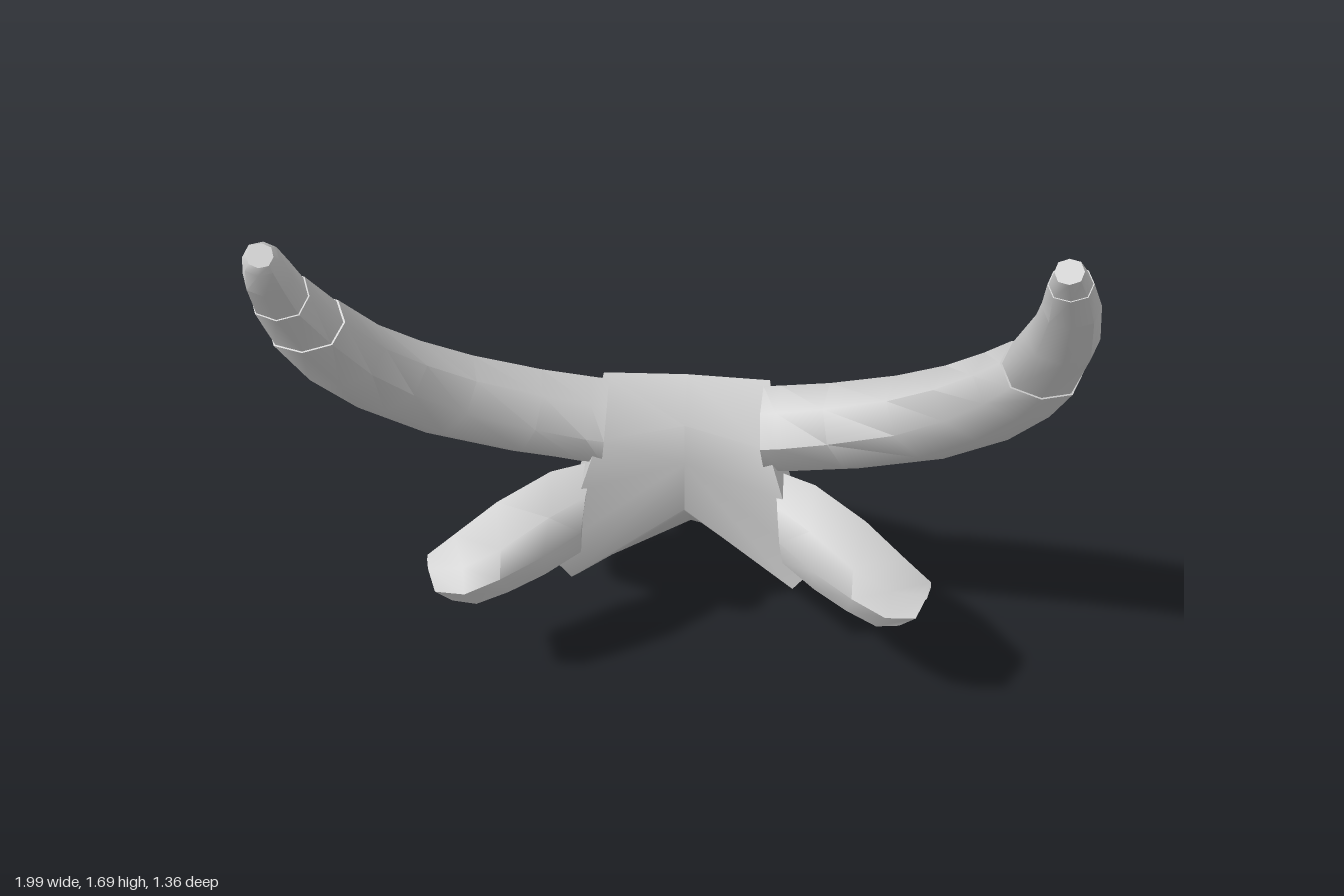
import * as THREE from 'three';
import { toCreasedNormals } from 'three/addons/utils/BufferGeometryUtils.js';

const V = (x, y, z) => new THREE.Vector3(x, y, z);
const grey = new THREE.MeshStandardMaterial({ color: 0xcccccc });
grey.name = 'light grey';

const centreOf = ring => ring.reduce((s, p) => s.add(p), V(0, 0, 0)).divideScalar(ring.length);

// Skin closed rings into a capped solid whose faces always point outward
function loft(rings, startCap, crease = 0.75) {
  const n = rings[0].length, pts = rings.flat(), idx = [];
  const last = (rings.length - 1) * n, c0 = pts.length;
  pts.push(startCap || centreOf(rings[0]), centreOf(rings[rings.length - 1]));
  for (let j = 0; j < n; j++) {
    const k = (j + 1) % n;
    for (let i = 0; i < last; i += n) idx.push(i + j, i + k, i + n + j, i + k, i + n + k, i + n + j);
    idx.push(c0, k, j, c0 + 1, last + j, last + k);
  }
  let volume = 0;
  for (let i = 0; i < idx.length; i += 3)
    volume += pts[idx[i]].dot(pts[idx[i + 1]].clone().cross(pts[idx[i + 2]]));
  if (volume < 0) idx.reverse();
  const g = new THREE.BufferGeometry().setFromPoints(pts);
  g.setIndex(idx);
  return toCreasedNormals(g, crease);
}

export function createModel() {
  const model = new THREE.Group();
  const add = (name, geometry) => {
    const m = new THREE.Mesh(geometry, grey);
    m.name = name;
    model.add(m);
    return m;
  };

  // Head: half sections from crown centre round to throat centre, mirrored
  const sections = [
    [[0, .73, -.01], [.23, .71, .055], [.275, .57, .09], [.37, .36, .115], [.31, .26, .09], [0, .45, 0]],
    [[0, .845, -.09], [.225, .845, -.08], [.28, .6, -.03], [.375, .34, .06], [.3, .215, .02], [0, .42, -.03]],
    [[0, .69, -.235], [.2, .69, -.21], [.26, .55, -.12], [.32, .36, -.07], [.255, .205, -.05], [0, .36, -.1]],
    [[0, .46, -.4], [.135, .46, -.39], [.18, .38, -.33], [.21, .28, -.27], [.19, .185, -.22], [0, .23, -.23]],
    [[0, .35, -.482], [.12, .35, -.475], [.16, .28, -.44], [.175, .2, -.4], [.155, .15, -.36], [0, .16, -.37]],
    [[0, .24, -.56], [.11, .235, -.56], [.14, .19, -.545], [.15, .13, -.52], [.13, .07, -.49], [0, .07, -.49]],
  ].map(half => [
    ...half.map(p => V(...p)),
    ...half.slice(1, -1).reverse().map(([x, y, z]) => V(-x, y, z)),
  ]);
  const head = add('head', loft(sections, V(0, .61, 0), 0.8));

  // Muzzle band and nose pad: rounded-square rings [topY, topZ, bottomY, bottomZ, halfWidth]
  const muzzleRing = ([ty, tz, by, bz, w]) => Array.from({ length: 16 }, (_, i) => {
    const a = i / 16 * Math.PI * 2, sq = v => Math.sign(v) * Math.abs(v) ** 0.65;
    const k = (1 + sq(Math.sin(a))) / 2;
    return V(w * sq(Math.cos(a)), by + (ty - by) * k, bz + (tz - bz) * k);
  });
  add('muzzleBand', loft([
    [.235, -.55, .07, -.475, .14], [.24, -.575, .055, -.485, .155],
    [.195, -.61, .03, -.5, .16], [.185, -.61, .035, -.505, .15]].map(muzzleRing)));
  add('nosePad', loft([
    [.18, -.6, .04, -.49, .15], [.18, -.62, .025, -.5, .165],
    [.165, -.64, 0, -.535, .16], [.125, -.672, .005, -.555, .125],
    [.105, -.67, .015, -.565, .105]].map(muzzleRing)));

  // Horns: stations [x, y, half width, half thickness] lying in a tilted plane
  const normal = V(0, .6, -.8);
  const hornBase = [[.22, .712, .125, .12], [.28, .718, .135, .12], [.43, .755, .15, .115],
    [.625, .84, .155, .11], [.76, .955, .145, .1], [.845, 1.08, .125, .09]];
  const wholeHorn = [...hornBase, [.89, 1.185, .104, .08],
    [.913, 1.36, .085, .068], [.905, 1.52, .066, .055], [.887, 1.62, .05, .042], [.875, 1.675, .032, .03]];
  const brokenHorn = [...hornBase, [.895, 1.245, .103, .078],
    [.915, 1.39, .072, .065], [.912, 1.49, .058, .053], [.903, 1.57, .042, .042], [.9, 1.585, .03, .03]];
  const hornRings = (stations, side) => {
    const centres = stations.map(([x, y]) => V(side * x, y, -.04 + .735 * (y - .715)));
    const soft = v => Math.sign(v) * Math.abs(v) ** .85;
    return stations.map(([, , a, t], i) => {
      const from = centres[Math.max(0, i - 1)], to = centres[Math.min(centres.length - 1, i + 1)];
      const across = to.clone().sub(from).cross(normal).normalize();
      return Array.from({ length: 8 }, (_, j) => {
        const q = j / 8 * Math.PI * 2;
        return centres[i].clone().addScaledVector(across, a * soft(Math.cos(q)))
          .addScaledVector(normal, t * soft(Math.sin(q)));
      });
    });
  };
  const shrink = (ring, f) => {
    const c = centreOf(ring);
    return ring.map(p => p.clone().sub(c).multiplyScalar(f).add(c));
  };
  // Each horn is cut into pieces with a small step at every joint
  const buildHorn = (name, stations, side, cuts) => {
    const rings = hornRings(stations, side);
    for (let i = 0; i < cuts.length - 1; i++) {
      const piece = rings.slice(cuts[i], cuts[i + 1] + 1);
      if (i > 0) piece[0] = shrink(piece[0], .95);
      add(name + 'Piece' + (i + 1), loft(piece, null, 0.9));
    }
  };
  buildHorn('leftHorn', wholeHorn, 1, [0, 6, 9, 10]);
  buildHorn('rightHorn', brokenHorn, -1, [0, 6, 7, 10]);

  // Ears: downward-opening cups; sections run upper edge, back bulge, lower edge, hollow, front rim
  const earSections = [
    [[.25, .61, .01], [.26, .56, .11], [.27, .47, .15], [.28, .36, .1], [.28, .37, .05], [.3, .36, .005], [.28, .5, .005]],
    [[.36, .605, .06], [.35, .54, .18], [.36, .45, .235], [.37, .34, .18], [.39, .44, .14], [.42, .385, .08], [.41, .5, .06]],
    [[.5, .545, .13], [.47, .49, .265], [.47, .42, .305], [.46, .33, .25], [.5, .42, .22], [.55, .41, .15], [.54, .48, .13]],
    [[.61, .48, .2], [.57, .45, .3], [.56, .4, .35], [.54, .325, .3], [.58, .4, .28], [.63, .41, .22], [.63, .45, .2]],
    [[.68, .43, .23], [.67, .425, .28], [.64, .4, .345], [.6, .35, .32], [.63, .39, .3], [.67, .405, .27], [.68, .42, .24]],
  ];
  for (const side of [1, -1]) {
    add(side > 0 ? 'leftEar' : 'rightEar',
      loft(earSections.map(s => s.map(([x, y, z]) => V(side * x, y, z))), null, 1));
  }

  // Fine carved lines, laid onto the head surface
  head.updateMatrixWorld();
  const ray = new THREE.Raycaster();
  const carve = (name, points, toRay, closed) => {
    const path = new THREE.CurvePath(), hits = [];
    const all = closed ? [...points, points[0]] : points;
    for (let i = 0; i < all.length - 1; i++) {
      for (let k = 0; k <= 6; k++) {
        const a = all[i].map((v, m) => v + (all[i + 1][m] - v) * k / 6);
        ray.set(...toRay(a));
        const hit = ray.intersectObject(head)[0];
        if (hit && (k || !i)) hits.push(hit.point);
      }
    }
    for (let i = 0; i < hits.length - 1; i++) path.add(new THREE.LineCurve3(hits[i], hits[i + 1]));
    add(name, new THREE.TubeGeometry(path, hits.length * 2, .0025, 5));
  };
  const fromTop = ([x, z]) => [V(x, 2, z), V(0, -1, 0)];
  const diamond = (w, h) => [[0, -.31 - h], [w, -.31], [0, -.31 + h], [-w, -.31]];
  carve('foreheadDiamondOuter', diamond(.115, .075), fromTop, true);
  carve('foreheadDiamondInner', diamond(.08, .052), fromTop, true);
  for (const side of [1, -1]) {
    const fromSide = ([z, y]) => [V(side * 2, y, z), V(-side, 0, 0)];
    carve('eyeOutline', [[-.14, .455], [-.22, .465], [-.25, .385], [-.19, .4]], fromSide, true);
    carve('browLine', [[-.11, .465], [-.23, .49], [-.29, .38], [-.44, .31]], fromSide, false);

    // Nostril rim on the nose face
    const rim = new THREE.TorusGeometry(.024, .007, 6, 14);
    rim.scale(1.1, .8, 1);
    const nostril = add('nostril', rim);
    nostril.position.set(side * .06, .065, -.62);
    nostril.lookAt(side * .06, .065 - .72, -.62 - .69);
  }
  return model;
}
